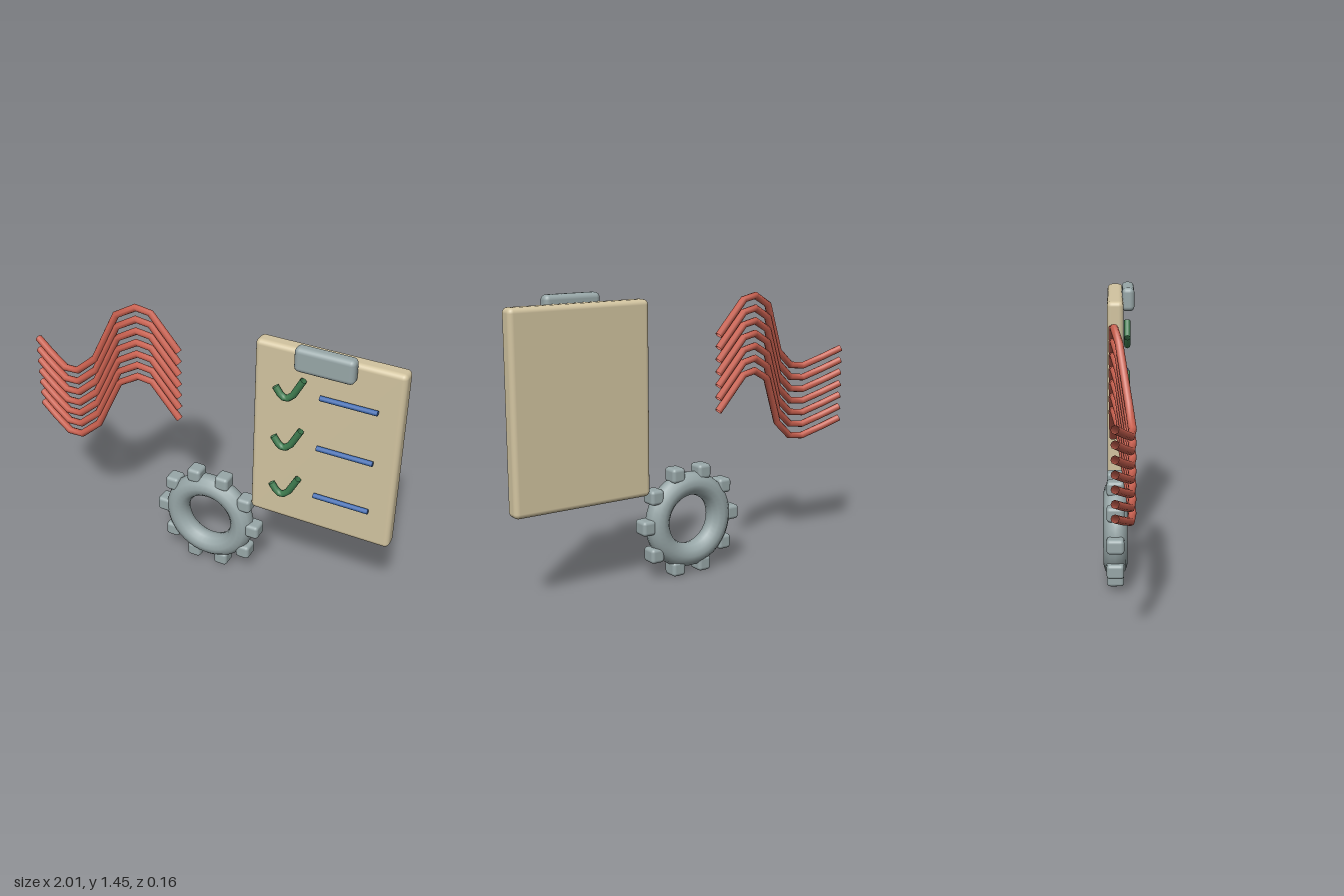
import * as THREE from 'three';
import { RoundedBoxGeometry } from 'three/addons/geometries/RoundedBoxGeometry.js';

// Path whose tube rings fall exactly on the given points
class Polyline extends THREE.Curve {
  constructor(points) {
    super();
    this.points = points.map((p) => new THREE.Vector3(...p));
  }
  getUtoTmapping(u) { return u; }
  getPoint(t, target = new THREE.Vector3()) {
    const n = this.points.length - 1;
    const i = Math.min(Math.floor(t * n), n - 1);
    return target.lerpVectors(this.points[i], this.points[i + 1], t * n - i);
  }
}

function material(name, color, side = THREE.FrontSide) {
  const m = new THREE.MeshStandardMaterial({ color, side });
  m.name = name;
  return m;
}

function tubeThrough(points, radius) {
  return new THREE.TubeGeometry(new Polyline(points), points.length - 1, radius, 8, false);
}

export function createModel() {
  const steel = material('steel grey', 0x98a7a8);
  const tan = material('board tan', 0xd2c4a0);
  const red = material('wave red', 0xc9604f, THREE.DoubleSide);
  const green = material('check green', 0x3f7d50, THREE.DoubleSide);
  const blue = material('line blue', 0x3f6bb0);

  const model = new THREE.Group();
  function add(parent, name, geometry, mat, x = 0, y = 0, z = 0) {
    const mesh = new THREE.Mesh(geometry, mat);
    mesh.name = name;
    mesh.position.set(x, y, z);
    parent.add(mesh);
    return mesh;
  }
  function group(name) {
    const g = new THREE.Group();
    g.name = name;
    model.add(g);
    return g;
  }

  // Clipboard with its clip
  const clipboard = group('clipboard');
  add(clipboard, 'board', new RoundedBoxGeometry(0.735, 0.965, 0.085, 3, 0.025), tan, 0.6325, 0.935, -0.02);
  add(clipboard, 'clip', new RoundedBoxGeometry(0.294, 0.125, 0.066, 3, 0.025), steel, 0.63, 1.395, 0.049);

  // Three checklist rows: tick and line
  const tick = tubeThrough([
    [0.387, 0.002, 0], [0.412, -0.032, 0], [0.432, -0.047, 0], [0.453, -0.045, 0],
    [0.478, -0.022, 0], [0.499, 0.018, 0], [0.526, 0.07, 0],
  ], 0.017);
  const line = new THREE.CylinderGeometry(0.013, 0.013, 0.28, 12).rotateZ(Math.PI / 2);
  for (let i = 0; i < 3; i++) {
    const y = 1.21 - i * 0.276;
    add(clipboard, 'tick', tick, green, 0, y, 0.044);
    add(clipboard, 'line', line, blue, 0.75, y, 0.044);
  }

  // Gear: ring with upright rounded teeth
  const gear = group('gear');
  gear.position.set(0.016, 0.285, -0.02);
  add(gear, 'gearRing', new THREE.TorusGeometry(0.187, 0.061, 12, 40), steel);
  const tooth = new RoundedBoxGeometry(0.075, 0.076, 0.088, 3, 0.018);
  for (let i = 0; i < 10; i++) {
    const a = (i / 10) * Math.PI * 2;
    add(gear, 'gearTooth', tooth, steel, Math.cos(a) * 0.256, Math.sin(a) * 0.256, 0);
  }

  // Seven stacked wavy strands
  const waves = group('waves');
  const strand = tubeThrough([
    [-0.997, 1.08, -0.022], [-0.9, 1.037, 0.012], [-0.79, 0.994, 0.047], [-0.71, 1.003, 0.055],
    [-0.61, 1.09, 0.04], [-0.5, 1.345, -0.003], [-0.4, 1.398, -0.025],
    [-0.32, 1.383, -0.033], [-0.165, 1.21, -0.03],
  ], 0.019);
  for (let i = 0; i < 7; i++) add(waves, 'waveStrand', strand, red, 0, -i * 0.0645, 0);

  return model;
}
